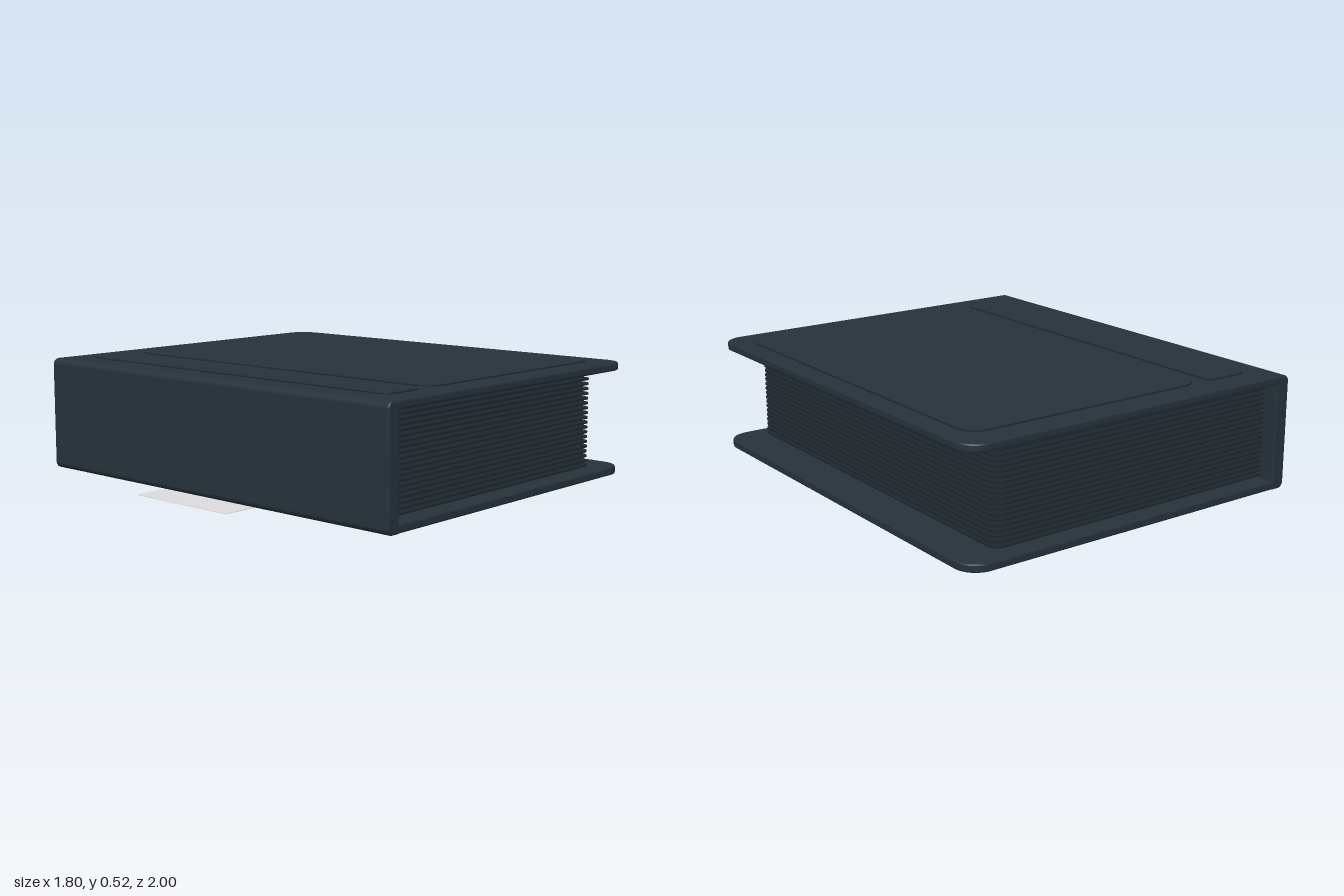
import * as THREE from 'three';

const coverMat = new THREE.MeshStandardMaterial({ color: 0x26323b });
coverMat.name = 'slate cover';
const pageMat = new THREE.MeshStandardMaterial({ color: 0x1d262c });
pageMat.name = 'dark pages';
const tabMat = new THREE.MeshStandardMaterial({ color: 0xdcdcdc, side: THREE.DoubleSide });
tabMat.name = 'pale grey tab';

// Rectangle with separate corner radii for its left and right ends
function roundedRect(x0, x1, y0, y1, rl, rr) {
  const s = new THREE.Shape();
  const arc = (x, y, r, a) => (r > 0 ? s.absarc(x, y, r, a, a + Math.PI / 2) : s.lineTo(x, y));
  s.moveTo(x0 + rl, y0);
  arc(x1 - rr, y0 + rr, rr, -Math.PI / 2);
  arc(x1 - rr, y1 - rr, rr, 0);
  arc(x0 + rl, y1 - rl, rl, Math.PI / 2);
  arc(x0 + rl, y0 + rl, rl, Math.PI);
  s.closePath();
  return s;
}

// Flat rounded slab lying in the xz plane; b is the edge bevel
function slab(x0, x1, halfZ, y0, y1, rl, rr, b = 0) {
  const shape = roundedRect(x0 + b, x1 - b, -halfZ + b, halfZ - b, Math.max(rl - b, 0), Math.max(rr - b, 0));
  const g = new THREE.ExtrudeGeometry(shape, {
    depth: y1 - y0 - 2 * b, bevelEnabled: b > 0, bevelSize: b, bevelThickness: b,
    bevelSegments: 2, curveSegments: 10,
  });
  return g.rotateX(-Math.PI / 2).translate(0, y0 + b, 0);
}

export function createModel() {
  const root = new THREE.Group();
  root.name = 'album';
  const add = (parent, name, geometry, material) => {
    const m = new THREE.Mesh(geometry, material);
    m.name = name;
    parent.add(m);
    return m;
  };

  // Covers
  add(root, 'bottomCover', slab(-0.71, 0.9, 1, 0.003, 0.04, 0.01, 0.1, 0.007), coverMat);
  add(root, 'topCover', slab(-0.71, 0.9, 1, 0.475, 0.51, 0.01, 0.1, 0.007), coverMat);

  // Spine: rounded outer edges, run along z
  const b = 0.006;
  const spine = new THREE.ExtrudeGeometry(roundedRect(-0.765 + b, -0.7 - b, 0.002 + b, 0.51 - b, 0.022, 0), {
    depth: 2 - 2 * b, bevelEnabled: true, bevelSize: b, bevelThickness: b, bevelSegments: 2, curveSegments: 8,
  }).translate(0, 0, -1 + b);
  add(root, 'spine', spine, coverMat);

  // Raised panels on the top cover, each with a thin dark rim
  for (const [name, x0, x1, r] of [['spineStrip', -0.632, -0.418, 0.035], ['frontPanel', -0.365, 0.81, 0.085]]) {
    const e = 0.005;
    add(root, name + 'Rim', slab(x0, x1, 0.878, 0.508, 0.513, r, r), pageMat);
    add(root, name, slab(x0 + e, x1 - e, 0.878 - e, 0.508, 0.516, r - e, r - e), coverMat);
  }

  // Pages, each with a three by three grid of pockets on both faces
  const pages = new THREE.Group();
  pages.name = 'pages';
  root.add(pages);
  const sheet = slab(-0.705, 0.735, 0.93, -0.0035, 0.0035, 0, 0.05);
  const pocket = new THREE.BoxGeometry(0.431, 0.003, 0.575);
  const count = 20;
  for (let i = 0; i < count; i++) {
    const y = 0.052 + (0.412 * i) / (count - 1);
    add(pages, 'page', sheet, pageMat).position.y = y;
    for (const side of [-1, 1])
      for (let c = -1; c <= 1; c++)
        for (let r = -1; r <= 1; r++)
          add(pages, 'pocket', pocket, pageMat).position.set(0.036 + c * 0.445, y + side * 0.005, r * 0.593);
  }

  // Thin tab sticking out from under the spine
  add(root, 'tab', slab(-0.9, -0.64, 0.272, 0, 0.002, 0.012, 0.012), tabMat);

  return root;
}
